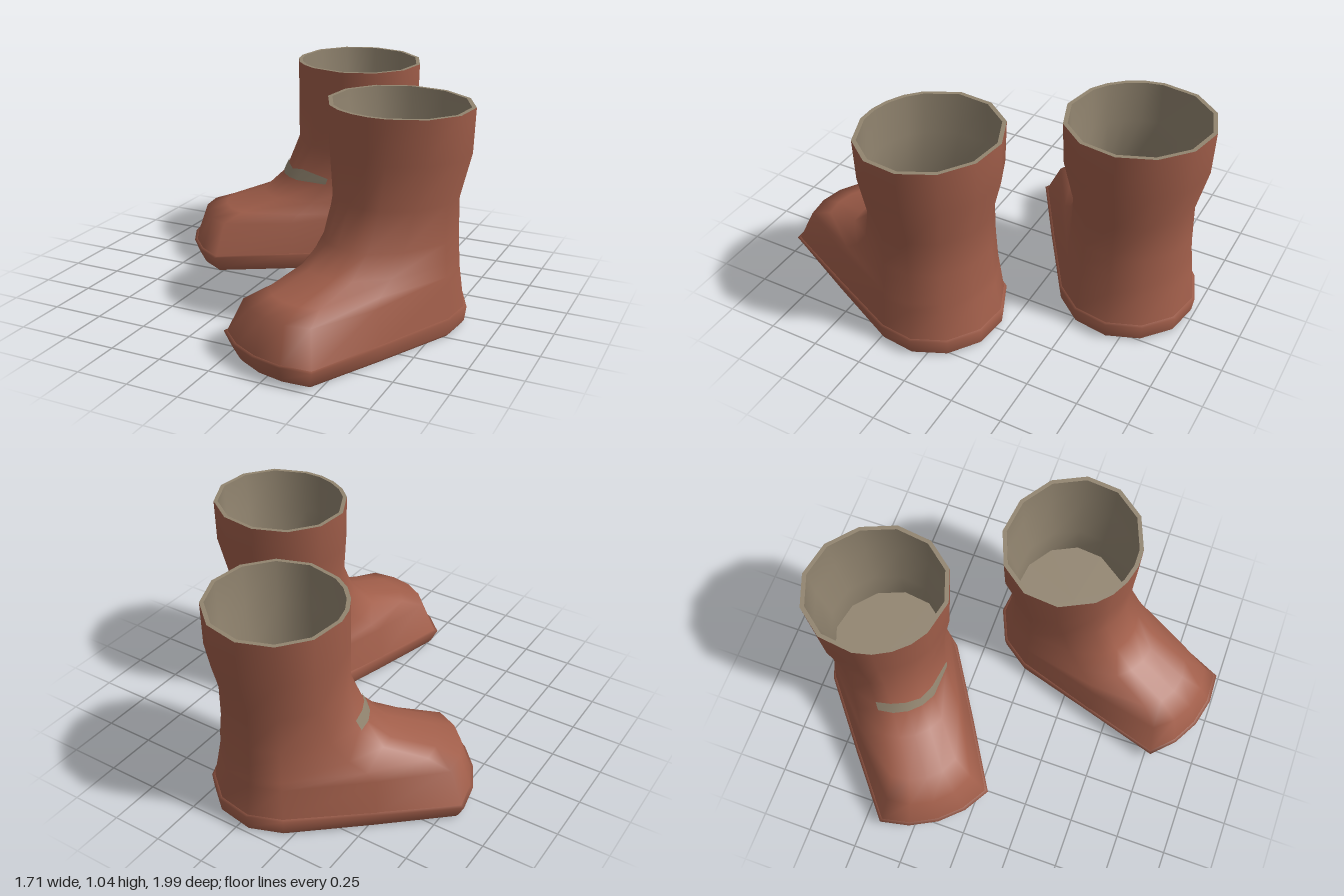
import * as THREE from 'three';

const leather = new THREE.MeshStandardMaterial({ color: 0xa15e4a });
leather.name = 'red brown leather';
const liningMat = new THREE.MeshStandardMaterial({ color: 0x91846f });
liningMat.name = 'beige lining';

// Cross-sections: y, side half-width, heel depth, mid x, mid z, toe corner x, toe corner z, front z
const SOLE = [
  [0.005, 0.32, 0.315, 0.285, 0.41, 0.245, 0.79, 0.86],
  [0.02, 0.33, 0.328, 0.295, 0.41, 0.255, 0.8, 0.872],
  [0.09, 0.34, 0.335, 0.315, 0.42, 0.285, 0.82, 0.9],
  [0.097, 0.315, 0.31, 0.29, 0.42, 0.265, 0.8, 0.875],
];
const UPPER = [
  [0.085, 0.328, 0.322, 0.303, 0.42, 0.275, 0.812, 0.888],
  [0.25, 0.31, 0.29, 0.27, 0.42, 0.215, 0.76, 0.835],
  [0.29, 0.305, 0.283, 0.255, 0.38, 0.165, 0.66, 0.72],
  [0.35, 0.3, 0.28, 0.245, 0.3, 0.15, 0.46, 0.51],
  [0.45, 0.295, 0.27, 0.24, 0.22, 0.14, 0.35, 0.395],
  [0.63, 0.29, 0.27, 0.25, 0.17, 0.145, 0.28, 0.32],
  [0.84, 0.34, 0.32, 0.295, 0.16, 0.17, 0.277, 0.32],
  [1.05, 0.35, 0.322, 0.303, 0.16, 0.175, 0.277, 0.322],
];

// Closed outline from heel, round the +x side, to the toe and back
function outline([y, rx, back, mx, mz, tx, tz, front], s = 1) {
  const half = [
    [0, -back], [rx * 0.5, -back * 0.87], [rx * 0.87, -back * 0.5], [rx, 0],
    [mx, mz], [tx, tz], [tx * 0.52, tz + (front - tz) * 0.75], [0, front],
  ];
  const mirror = half.slice(1, -1).reverse().map(([x, z]) => [-x, z]);
  return half.concat(mirror).map(([x, z]) => [x * s, y, z * s]);
}

// Upper cross-section at any height
function sectionAt(y) {
  let i = 0;
  while (i < UPPER.length - 2 && UPPER[i + 1][0] < y) i++;
  const a = UPPER[i], b = UPPER[i + 1], t = (y - a[0]) / (b[0] - a[0]);
  return a.map((v, k) => v + (b[k] - v) * t);
}

function build(points, index) {
  const g = new THREE.BufferGeometry();
  g.setAttribute('position', new THREE.Float32BufferAttribute(points.flat(), 3));
  g.setIndex(index);
  g.computeVertexNormals();
  return g;
}

// Skin over rings: bottom to top faces outward, top to bottom faces inward
function loft(rings, closed = true) {
  const n = rings[0].length, index = [];
  for (let r = 0; r < rings.length - 1; r++) {
    for (let i = 0; i < (closed ? n : n - 1); i++) {
      const j = (i + 1) % n;
      const a = r * n + i, b = r * n + j, c = a + n, d = b + n;
      index.push(a, c, b, b, c, d);
    }
  }
  return build(rings.flat(), index);
}

function cap(ring, up) {
  const n = ring.length, index = [];
  for (let i = 0; i < n; i++) {
    const j = (i + 1) % n;
    index.push(n, up ? j : i, up ? i : j);
  }
  return build([...ring, [0, ring[0][1], 0.05]], index);
}

function part(parent, name, geometry, material) {
  const mesh = new THREE.Mesh(geometry, material);
  mesh.name = name;
  parent.add(mesh);
}

function makeBoot(name) {
  const boot = new THREE.Group();
  boot.name = name;
  // Sole with a protruding lip
  const soleRings = SOLE.map((s) => outline(s));
  part(boot, 'soleEdge', loft(soleRings), leather);
  part(boot, 'soleBottom', cap(soleRings[0], false), leather);
  // Foot and shaft
  part(boot, 'upper', loft(UPPER.map((s) => outline(s))), leather);
  // Lining: rim, inner wall and floor
  const rim = outline(sectionAt(1.05));
  const inner = [1.05, 0.84, 0.63, 0.44].map((y) => outline(sectionAt(y), 0.94));
  part(boot, 'rim', loft([rim, inner[0]]), liningMat);
  part(boot, 'lining', loft(inner), liningMat);
  part(boot, 'liningFloor', cap(inner[3], true), liningMat);
  return boot;
}

// Strip of lining showing at the front of the ankle
function ankleLining() {
  const tops = [0.475, 0.505, 0.49, 0.5, 0.505, 0.5];
  const pick = (y, i) => outline(sectionAt(y), 1.016)[i + 4];
  const lower = tops.map((_, i) => pick(0.445, i));
  const upper = tops.map((y, i) => pick(y, i));
  return loft([lower, upper], false);
}

export function createModel() {
  const model = new THREE.Group();
  model.name = 'pairOfBoots';

  const left = makeBoot('leftBoot');
  left.position.set(0.51, 0, 0.115);
  left.rotation.y = THREE.MathUtils.degToRad(-21);

  const right = makeBoot('rightBoot');
  right.position.set(-0.02, 0, -0.655);
  right.rotation.y = THREE.MathUtils.degToRad(-54.5);
  part(right, 'ankleLining', ankleLining(), liningMat);

  model.add(left, right);
  return model;
}
